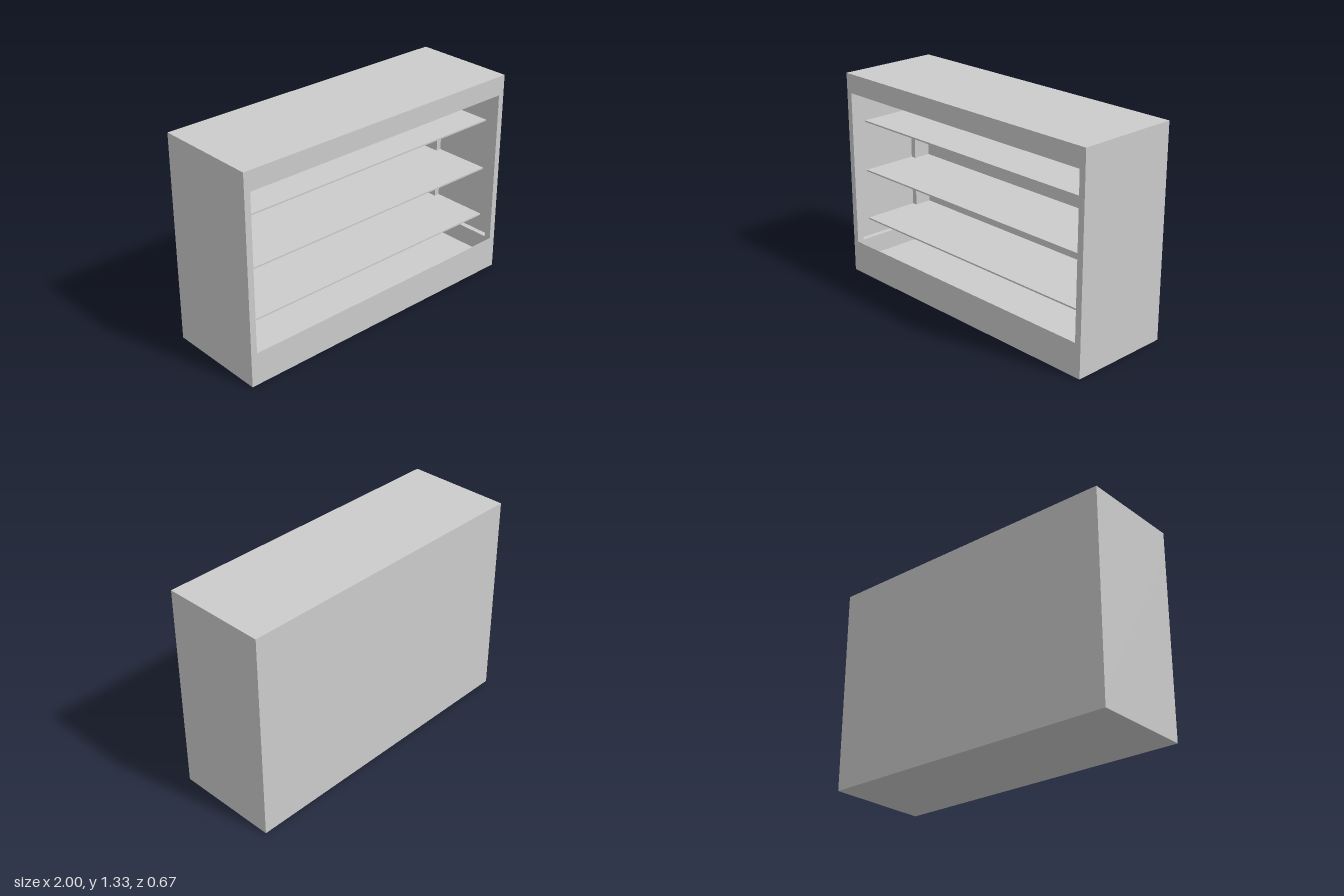
import * as THREE from 'three';

const W = 2, H = 1.333, D = 0.667;
const INNER = 0.96;        // half width of the main cavity
const SKIN = 0.004;        // thin outer side and front panels
const FLOOR = 0.087, CEILING = 1.21, SILL = 0.21;
const BACK = -0.28;        // inner face of the back panel
const STEP = -0.165;       // where the side recesses end

const material = new THREE.MeshStandardMaterial({ color: 0xcccccc, flatShading: true });

export function createModel() {
  const group = new THREE.Group();

  const add = (name, geometry) => {
    const mesh = new THREE.Mesh(geometry, material);
    mesh.name = name;
    group.add(mesh);
  };

  // Box given by its lower and upper limits
  const box = (name, x0, x1, y0, y1, z0, z1) => {
    const g = new THREE.BoxGeometry(x1 - x0, y1 - y0, z1 - z0);
    g.translate((x0 + x1) / 2, (y0 + y1) / 2, (z0 + z1) / 2);
    add(name, g);
  };

  // Side profile of [z, y] points, extruded across x
  const profile = (name, points, hole, x0, x1) => {
    const toVectors = (list) => list.map(([z, y]) => new THREE.Vector2(z, y));
    const shape = new THREE.Shape(toVectors(points));
    if (hole) shape.holes.push(new THREE.Path(toVectors(hole)));
    const g = new THREE.ExtrudeGeometry(shape, { depth: x1 - x0, bevelEnabled: false });
    g.rotateY(-Math.PI / 2).translate(x1, 0, 0);
    add(name, g);
  };

  const rect = (z0, z1, y0, y1) => [[z0, y0], [z1, y0], [z1, y1], [z0, y1]];

  // Carcass
  box('base', -W / 2, W / 2, 0, FLOOR, -D / 2, D / 2);
  box('top', -W / 2, W / 2, CEILING, H, -D / 2, D / 2);
  box('backPanel', -INNER, INNER, FLOOR, CEILING, -D / 2, BACK);
  box('frontLip', -INNER, INNER, FLOOR, SILL, D / 2 - SKIN, D / 2);

  // Side walls: a frame around the recess, closed by a thin outer panel
  for (const side of [-1, 1]) {
    const name = side > 0 ? 'left' : 'right';
    const span = (a, b) => (side > 0 ? [a, b] : [-b, -a]);
    profile(name + 'SideFrame', rect(-D / 2, D / 2, FLOOR, CEILING),
      rect(STEP, 0.29, SILL, 1.17), ...span(INNER, W / 2 - SKIN));
    box(name + 'SidePanel', ...span(W / 2 - SKIN, W / 2), FLOOR, CEILING, -D / 2, D / 2);
  }

  // Shelves: level on top, tapering to a thin front edge, let into the side recesses
  for (let i = 1; i <= 3; i++) {
    const top = i * H / 4, bottom = top - 0.038;
    profile('shelf' + i, [[STEP, bottom], [0.21, top - 0.01], [0.21, top], [STEP, top]],
      null, -W / 2 + SKIN, W / 2 - SKIN);
    box('shelfRear' + i, -INNER, INNER, bottom, top, BACK, STEP);
  }

  return group;
}
